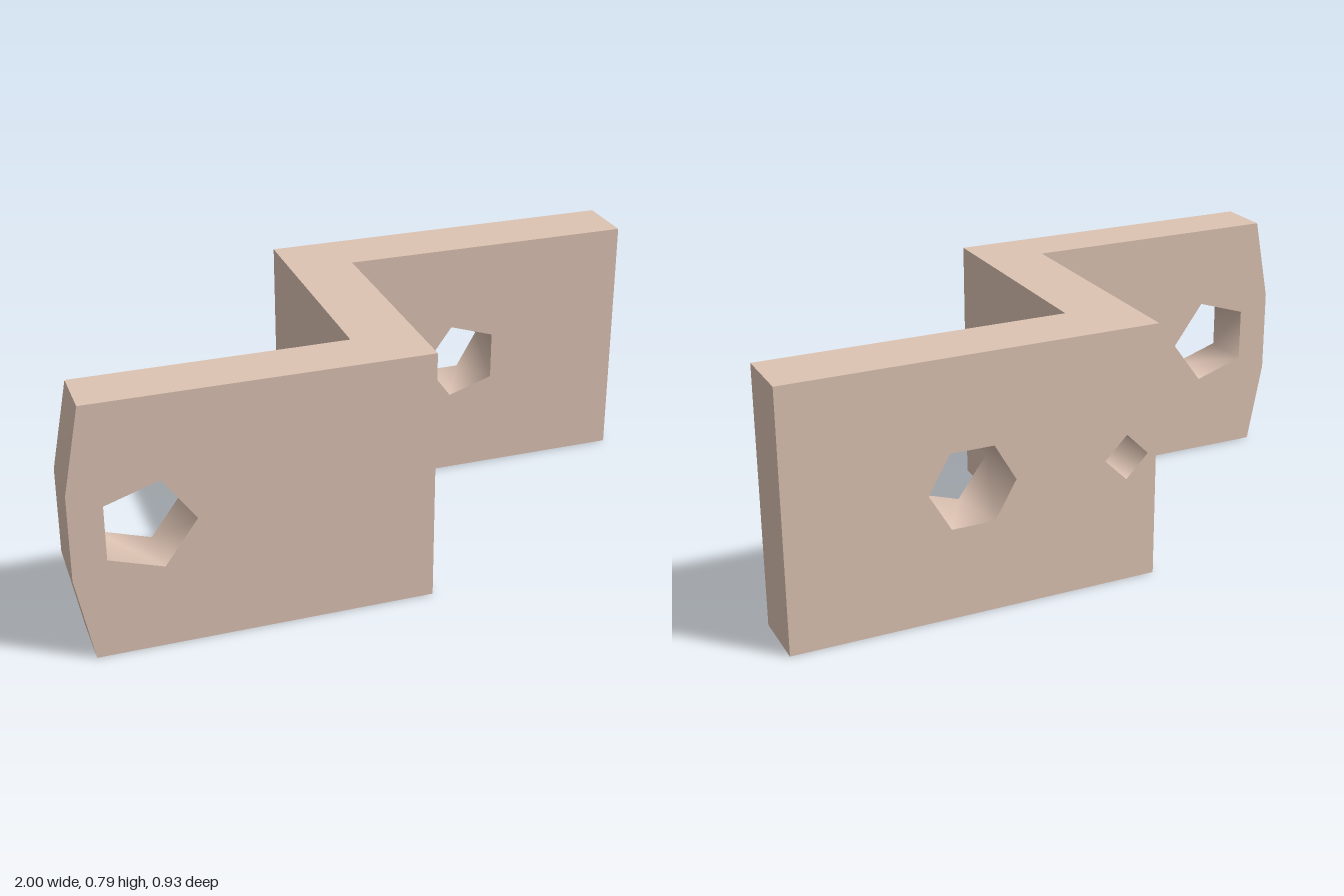
import * as THREE from 'three';

const H = 0.79, MID = H / 2;
const material = new THREE.MeshStandardMaterial({ color: 0xdec4b4 });

const toVectors = (pts) => pts.map(([x, y]) => new THREE.Vector2(x, y));

// Regular polygon, counter-clockwise, first corner at the start angle
function polygon(cx, radius, sides, start = 0) {
  return Array.from({ length: sides }, (_, i) => {
    const a = start + (i / sides) * Math.PI * 2;
    return [cx + radius * Math.cos(a), MID + radius * Math.sin(a)];
  });
}

function rect(x0, x1) {
  return [[x0, 0], [x1, 0], [x1, H], [x0, H]];
}

// Flat panel at depth z, facing the front or the back, with holes
function panel(outline, holes, z, facesBack) {
  const flip = (pts) => toVectors(facesBack ? pts.map(([x, y]) => [-x, y]) : pts);
  const shape = new THREE.Shape(flip(outline));
  shape.holes = holes.map((h) => new THREE.Path(flip(h)));
  const geo = new THREE.ShapeGeometry(shape);
  if (facesBack) geo.rotateY(Math.PI);
  return geo.translate(0, 0, z);
}

// Upright wall at x, between two depths, facing +x or -x
function sideWall(x, z0, z1, dir) {
  return new THREE.PlaneGeometry(z1 - z0, H)
    .rotateY((dir * Math.PI) / 2)
    .translate(x, MID, (z0 + z1) / 2);
}

// Smooth wall stitched between a front loop and a back loop, whose corner counts may differ
function stitch(front, zFront, back, zBack, closed = true) {
  const pos = [...front.flatMap(([x, y]) => [x, y, zFront]), ...back.flatMap(([x, y]) => [x, y, zBack])];
  const n = front.length, m = back.length;
  const endA = closed ? n : n - 1, endB = closed ? m : m - 1;
  const A = (i) => i % n, B = (j) => n + (j % m);
  const index = [];
  let i = 0, j = 0;
  while (i < endA || j < endB) {
    if (j >= endB || (i < endA && (i + 1) / endA <= (j + 1) / endB)) {
      index.push(A(i), A(i + 1), B(j));
      i++;
    } else {
      index.push(A(i), B(j + 1), B(j));
      j++;
    }
  }
  const geo = new THREE.BufferGeometry();
  geo.setAttribute('position', new THREE.Float32BufferAttribute(pos, 3));
  geo.setIndex(index);
  geo.computeVertexNormals();
  return geo;
}

export function createModel() {
  const group = new THREE.Group();
  group.name = 'offsetBracket';
  const add = (name, geo) => {
    const mesh = new THREE.Mesh(geo, material);
    mesh.name = name;
    group.add(mesh);
  };

  // Z-shaped plan of the bracket, as x and z
  const L = -0.135, R = 0.065;
  const front = 0.465, frontInner = 0.295, back = -0.465, backInner = -0.27;
  const plan = [
    [-0.95, front], [R, front], [R, backInner], [1, backInner],
    [1, back], [L, back], [L, frontInner], [-0.95, frontInner],
  ];
  const topShape = new THREE.Shape(toVectors(plan.map(([x, z]) => [x, -z])));
  add('topFace', new THREE.ShapeGeometry(topShape).rotateX(-Math.PI / 2).translate(0, H, 0));
  add('bottomFace', new THREE.ShapeGeometry(new THREE.Shape(toVectors(plan))).rotateX(Math.PI / 2));

  // Front flange with bowed end and five-sided hole
  const bow = [[-0.95, 0], [-1, 0.263], [-1, 0.527], [-0.95, H]];
  const flange = (x) => [[x, 0], [x, H], ...[...bow].reverse()];
  const frontHole = polygon(-0.784, 0.144, 5);
  add('frontFlangeFront', panel(flange(R), [frontHole], front, false));
  add('frontFlangeBack', panel(flange(L), [frontHole], frontInner, true));
  add('frontFlangeEnd', stitch(bow, front, bow, frontInner, false));
  add('frontHoleWall', stitch(frontHole, front, frontHole, frontInner));

  // Rear flange: hole with five sides in front and six behind
  const rearHoleFront = polygon(0.45, 0.13, 5, Math.PI);
  const rearHoleBack = polygon(0.447, 0.133, 6, Math.PI);
  const pinHole = polygon(-0.038, 0.07, 4);
  add('rearFlangeFront', panel(rect(R, 1), [rearHoleFront], backInner, false));
  add('rearFlangeBack', panel(rect(L, 1), [rearHoleBack, pinHole], back, true));
  add('rearFlangeEnd', sideWall(1, back, backInner, 1));
  add('rearHoleWall', stitch(rearHoleFront, backInner, rearHoleBack, back));

  // Blind four-sided pin hole running into the web
  const pinFloor = back + 0.3;
  add('pinHoleWall', stitch(pinHole, pinFloor, pinHole, back));
  add('pinHoleFloor', panel(pinHole, [], pinFloor, true));

  // Web joining the two flanges
  add('webLeft', sideWall(R, backInner, front, 1));
  add('webRight', sideWall(L, back, frontInner, -1));

  return group;
}
